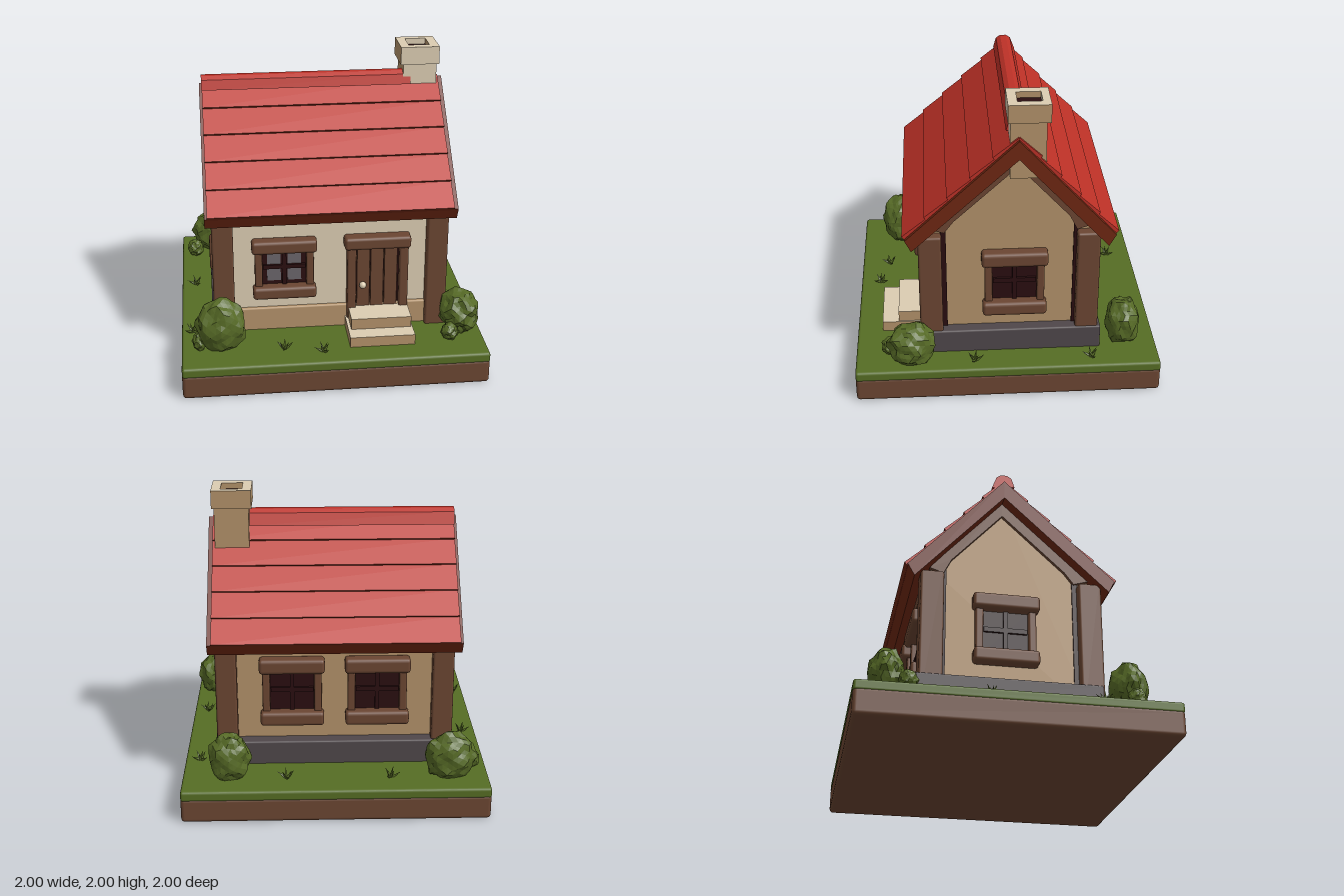
import * as THREE from 'three';
import { RoundedBoxGeometry } from 'three/addons/geometries/RoundedBoxGeometry.js';
import { mergeVertices } from 'three/addons/utils/BufferGeometryUtils.js';

const mat = (name, color, extra = {}) => Object.assign(new THREE.MeshStandardMaterial({ color, ...extra }), { name });
const M = {
  red: mat('roof red', 0xbd3127),
  rust: mat('rust trim', 0x6e2712),
  cream: mat('cream plaster', 0xdccdb2),
  tan: mat('tan plaster', 0xb3926a),
  wood: mat('brown wood', 0x6b4632),
  grass: mat('grass green', 0x566d24),
  leaf: mat('leaf green', 0x566a26, { flatShading: true, side: THREE.DoubleSide }),
  dark: mat('dark interior', 0x2a0e10),
  stone: mat('grey stone', 0x4f474a),
  glass: mat('window glass', 0x6b666a),
};

// Box given by its min and max corners, with a small rounded edge
function box(parent, name, m, [x0, x1], [y0, y1], [z0, z1], r = 0.012) {
  const w = x1 - x0, h = y1 - y0, d = z1 - z0;
  const geo = r > 0 ? new RoundedBoxGeometry(w, h, d, 2, r) : new THREE.BoxGeometry(w, h, d);
  const mesh = new THREE.Mesh(geo, m);
  mesh.name = name;
  mesh.position.set((x0 + x1) / 2, (y0 + y1) / 2, (z0 + z1) / 2);
  parent.add(mesh);
  return mesh;
}

// Extrudes a (z, y) outline along x
function prism(parent, name, m, points, x0, x1) {
  const shape = new THREE.Shape(points.map(p => new THREE.Vector2(...p)));
  const geo = new THREE.ExtrudeGeometry(shape, { depth: x1 - x0, bevelEnabled: false });
  geo.rotateY(-Math.PI / 2).translate(x1, 0, 0);
  const mesh = new THREE.Mesh(geo, m);
  mesh.name = name;
  parent.add(mesh);
}

// Window facing local +z, centred on x = 0, with its sill base at y = 0
function makeWindow(panes) {
  const g = new THREE.Group();
  g.name = 'window';
  box(g, 'windowDark', M.dark, [-0.17, 0.17], [0.05, 0.36], [-0.01, 0.008], 0);
  for (const s of [-1, 1]) box(g, 'windowJamb', M.wood, [s * 0.17 - 0.025, s * 0.17 + 0.025], [0.06, 0.36], [-0.01, 0.045]);
  box(g, 'windowHeader', M.wood, [-0.215, 0.215], [0.33, 0.42], [-0.01, 0.085], 0.022);
  box(g, 'windowSill', M.wood, [-0.21, 0.21], [0, 0.085], [-0.01, 0.085], 0.022);
  for (const s of [-1, 1]) for (const y of [0.155, 0.275])
    if (panes) box(g, 'pane', M.glass, [s * 0.068 - 0.045, s * 0.068 + 0.045], [y - 0.045, y + 0.045], [0.008, 0.012], 0);
  box(g, 'mullion', M.dark, [-0.014, 0.014], [0.07, 0.34], [0, 0.025], 0);
  box(g, 'crossbar', M.dark, [-0.14, 0.14], [0.2, 0.228], [0, 0.025], 0);
  return g;
}

// Lumpy faceted bush
function makeBush(x, z, rx, h, rz, seed) {
  let geo = new THREE.IcosahedronGeometry(1, 4);
  geo.deleteAttribute('normal');
  geo.deleteAttribute('uv');
  geo = mergeVertices(geo);
  const p = geo.attributes.position, v = new THREE.Vector3();
  for (let i = 0; i < p.count; i++) {
    v.fromBufferAttribute(p, i);
    const lump = Math.sin(v.x * 5 + seed) * Math.sin(v.y * 6 + seed * 2) * Math.sin(v.z * 5 + seed * 3);
    const rough = Math.sin(i * 12.99 + seed * 7.1) * 0.045;
    p.setXYZ(i, ...v.multiplyScalar(0.95 + lump * 0.14 + rough).toArray());
  }
  geo.computeVertexNormals();
  const bush = new THREE.Mesh(geo, M.leaf);
  bush.name = 'bush';
  bush.scale.set(rx, h * 0.56, rz);
  bush.position.set(x, 0.22 + h * 0.44, z);
  return bush;
}

// Tuft of leaning blades
function makeTuft(x, z, size, seed) {
  const g = new THREE.Group();
  g.name = 'grassTuft';
  for (let i = 0; i < 6; i++) {
    const blade = new THREE.Mesh(new THREE.ConeGeometry(0.014, size, 3).translate(0, size / 2, 0), M.leaf);
    blade.name = 'blade';
    blade.rotation.set(0, i * 1.05 + seed, i % 2 ? 0.5 : 1.0, 'YXZ');
    g.add(blade);
  }
  g.position.set(x, 0.215, z);
  return g;
}

export function createModel() {
  const root = new THREE.Group();
  root.name = 'cottage';

  // Ground block
  box(root, 'soil', M.wood, [-1, 1], [0, 0.17], [-1, 1], 0.025);
  box(root, 'lawn', M.grass, [-1, 1], [0.15, 0.22], [-1, 1], 0.018);

  // Walls
  prism(root, 'walls', M.tan, [[0.5, 0.2], [0.5, 1.14], [-0.07, 1.68], [-0.53, 1.14], [-0.53, 0.2]], -0.71, 0.71);
  box(root, 'frontPlaster', M.cream, [-0.66, 0.65], [0.38, 1.0], [0.49, 0.508], 0);
  box(root, 'frontPlinth', M.tan, [-0.66, 0.65], [0.2, 0.38], [0.49, 0.53]);
  box(root, 'backPlinth', M.stone, [-0.7, 0.7], [0.2, 0.38], [-0.615, -0.5]);
  box(root, 'frontBeam', M.wood, [-0.7, 0.7], [0.99, 1.08], [0.46, 0.55]);
  box(root, 'backBeam', M.wood, [-0.7, 0.7], [0.99, 1.08], [-0.58, -0.5]);

  for (const s of [-1, 1]) {
    const span = (a, b) => (s > 0 ? [a, b] : [-b, -a]);
    // Corner posts, plinth and gable trim on each side
    box(root, 'frontPost', M.wood, span(0.64, 0.78), [0.2, 1.09], [0.42, 0.57], 0.015);
    box(root, 'backPost', M.wood, span(0.64, 0.78), [0.2, 1.09], [-0.6, -0.45], 0.015);
    box(root, 'sidePlinth', M.stone, span(0.66, 0.79), [0.2, 0.38], [-0.62, 0.56]);
    box(root, 'postGapFront', M.dark, span(0.7, 0.72), [0.38, 1.15], [0.39, 0.425], 0);
    box(root, 'postGapBack', M.dark, span(0.7, 0.72), [0.38, 1.15], [-0.455, -0.43], 0);
    prism(root, 'gableTrim', M.wood, [[0.5, 1.13], [-0.07, 1.67], [-0.54, 1.13], [-0.45, 1.1], [-0.4, 1.2],
      [-0.07, 1.56], [0.34, 1.18], [0.4, 1.1]], ...span(0.7, 0.735));
    // Side windows
    const w = makeWindow(false);
    w.position.set(s * 0.71, 0.49, -0.05);
    w.scale.y = 1.12;
    w.rotation.y = s * Math.PI / 2;
    root.add(w);
    // Back windows
    const b = makeWindow(false);
    b.position.set(s * 0.28, 0.49, -0.53);
    b.scale.y = 1.12;
    b.rotation.y = Math.PI;
    root.add(b);
  }
  const frontWindow = makeWindow(true);
  frontWindow.position.set(-0.307, 0.47, 0.508);
  root.add(frontWindow);

  // Door
  const door = new THREE.Group();
  door.name = 'door';
  root.add(door);
  box(door, 'doorGap', M.dark, [0.14, 0.5], [0.3, 0.82], [0.49, 0.516], 0);
  for (let i = 0; i < 3; i++) box(door, 'doorPlank', M.wood, [0.177 + i * 0.092, 0.265 + i * 0.092], [0.36, 0.795], [0.5, 0.535], 0.006);
  box(door, 'doorJamb', M.wood, [0.11, 0.17], [0.24, 0.82], [0.49, 0.56]);
  box(door, 'doorJamb', M.wood, [0.46, 0.52], [0.24, 0.82], [0.49, 0.56]);
  box(door, 'doorHeader', M.wood, [0.09, 0.53], [0.805, 0.89], [0.49, 0.595], 0.02);
  const knob = new THREE.Mesh(new THREE.SphereGeometry(0.024, 16, 12), M.cream);
  knob.name = 'doorKnob';
  knob.position.set(0.215, 0.53, 0.555);
  door.add(knob);

  // Steps
  const stepMats = [M.tan, M.tan, M.cream, M.tan, M.tan, M.tan];
  box(root, 'upperStep', stepMats, [0.12, 0.52], [0.2, 0.365], [0.5, 0.72], 0);
  box(root, 'lowerStep', stepMats, [0.1, 0.53], [0.2, 0.29], [0.5, 0.83], 0);

  // Roof slab
  const apex = [-0.07, 1.775];
  prism(root, 'roofSlab', M.rust, [apex, [-0.69, 1.1], [-0.645, 1.02], [-0.07, 1.65], [0.61, 1.02], [0.65, 1.1]], -0.82, 0.82);

  // Overlapping tile rows, with rust lower edges
  const rows = 5, rowMats = [M.red, M.red, M.red, M.red, M.rust, M.red];
  for (const eave of [[0.65, 1.1], [-0.69, 1.1]]) {
    const dz = eave[0] - apex[0], dy = eave[1] - apex[1], len = Math.hypot(dz, dy), s = Math.sign(dz);
    for (let i = 0; i < rows; i++) {
      const t = (i + 0.5) / rows, lift = 0.002;
      const row = new THREE.Mesh(new THREE.BoxGeometry(1.595, 0.03, len / rows + 0.006), rowMats);
      row.name = 'tileRow';
      row.position.set(-0.005, apex[1] + dy * t + lift * Math.abs(dz) / len, apex[0] + dz * t - lift * s * dy / len);
      row.rotation.x = Math.atan2(-dy, dz) - s * 0.08;
      root.add(row);
    }
  }
  prism(root, 'ridgeCap', M.red, [[0.0, 1.745], [-0.02, 1.81], [-0.05, 1.83], [-0.09, 1.83], [-0.12, 1.81], [-0.15, 1.73]], -0.805, 0.6);

  // Chimney with an open top
  const chimneyMats = [M.tan, M.tan, M.cream, M.tan, M.cream, M.tan];
  const chimney = new THREE.Group();
  chimney.name = 'chimney';
  root.add(chimney);
  box(chimney, 'chimneyNeck', chimneyMats, [0.55, 0.775], [1.5, 1.9], [-0.24, -0.015], 0);
  box(chimney, 'chimneyCapFront', chimneyMats, [0.53, 0.79], [1.88, 2], [-0.06, 0], 0);
  box(chimney, 'chimneyCapBack', chimneyMats, [0.53, 0.79], [1.88, 2], [-0.265, -0.215], 0);
  box(chimney, 'chimneyCapSide', chimneyMats, [0.53, 0.59], [1.88, 2], [-0.215, -0.06], 0);
  box(chimney, 'chimneyCapSide', chimneyMats, [0.73, 0.79], [1.88, 2], [-0.215, -0.06], 0);
  box(chimney, 'flue', M.dark, [0.59, 0.73], [1.9, 1.96], [-0.215, -0.06], 0);

  // Bushes: x, z, half width, height, half depth
  [[-0.74, 0.73, 0.165, 0.35, 0.125], [0.86, 0.63, 0.135, 0.28, 0.16],
    [-0.75, -0.79, 0.165, 0.31, 0.12], [0.69, -0.78, 0.14, 0.31, 0.12]]
    .forEach((b, i) => root.add(makeBush(...b, i * 1.7 + 0.6)));
  [[-0.88, 0.74, 0.05, 0.12, 0.06], [0.77, 0.77, 0.06, 0.11, 0.06], [-0.9, -0.67, 0.06, 0.12, 0.06]]
    .forEach((b, i) => root.add(makeBush(...b, i * 2.3 + 4)));

  // Grass tufts
  [[-0.36, -0.82], [0.32, -0.82], [0.9, -0.55], [-0.9, -0.17], [0.9, 0.22], [-0.33, 0.8], [-0.08, 0.86], [-0.93, 0.52], [-0.87, 0.62]]
    .forEach(([x, z], i) => root.add(makeTuft(x, z, 0.075, i * 0.7)));

  return root;
}
